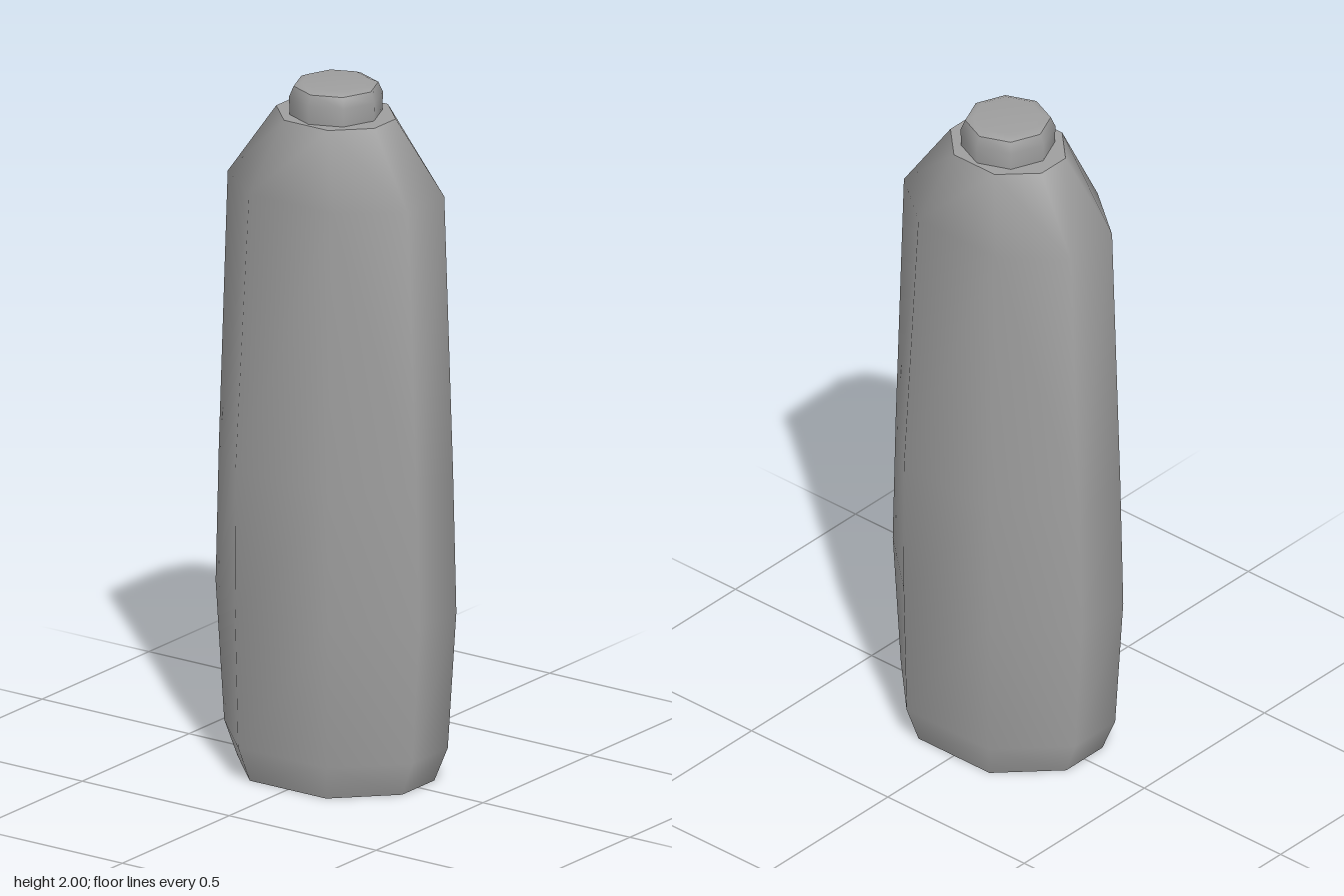
import * as THREE from 'three';

const material = new THREE.MeshStandardMaterial({ color: 0x9e9e9e });

// Body cross-sections: height, half width, half depth, half front flat, half side flat
const SECTIONS = [
  [0, 0.28, 0.225, 0.13, 0.075],
  [0.1, 0.32, 0.252, 0.15, 0.083],
  [0.5, 0.347, 0.255, 0.158, 0.086],
  [0.9, 0.336, 0.255, 0.157, 0.086],
  [1.7, 0.306, 0.213, 0.141, 0.086],
  [1.908, 0.167, 0.14, 0.075, 0.05],
];

// Octagon corners, running from the front towards +x
function octagon([y, w, d, a, b]) {
  return [[a, d], [w, b], [w, -b], [a, -d], [-a, -d], [-w, -b], [-w, b], [-a, d]]
    .map(([x, z]) => [x, y, z]);
}

function build(points, index) {
  const geometry = new THREE.BufferGeometry();
  geometry.setAttribute('position', new THREE.Float32BufferAttribute(points.flat(), 3));
  geometry.setIndex(index);
  geometry.computeVertexNormals();
  return geometry;
}

// Smooth side wall joining the octagons, split so that the corner panels mirror each other
function wall(sections) {
  const index = [];
  for (let i = 0; i < sections.length - 1; i++) {
    for (let j = 0; j < 8; j++) {
      const a = i * 8 + j, b = i * 8 + (j + 1) % 8;
      if (j % 4 === 0) index.push(a, b, a + 8, b, b + 8, a + 8);
      else index.push(a, b, b + 8, a, b + 8, a + 8);
    }
  }
  return build(sections.flatMap(octagon), index);
}

// Flat octagonal end
function end(section, up) {
  const index = [];
  for (let j = 1; j < 7; j++) index.push(0, up ? j : j + 1, up ? j + 1 : j);
  return build(octagon(section), index);
}

// Eight-sided turned part
function turned(profile) {
  return new THREE.LatheGeometry(profile.map(([r, y]) => new THREE.Vector2(r, y)), 8);
}

export function createModel() {
  const model = new THREE.Group();
  const add = (name, geometry) => {
    const mesh = new THREE.Mesh(geometry, material);
    mesh.name = name;
    model.add(mesh);
  };

  // Bottle body
  add('body', wall(SECTIONS));
  add('base', end(SECTIONS[0], false));
  add('shoulderTop', end(SECTIONS[SECTIONS.length - 1], true));

  // Cap with a bevelled rim and a slightly raised top
  add('cap', turned([[0.129, 1.905], [0.131, 1.96], [0.118, 1.99]]));
  add('capTop', turned([[0.118, 1.99], [0.095, 2], [0, 2]]));

  return model;
}
